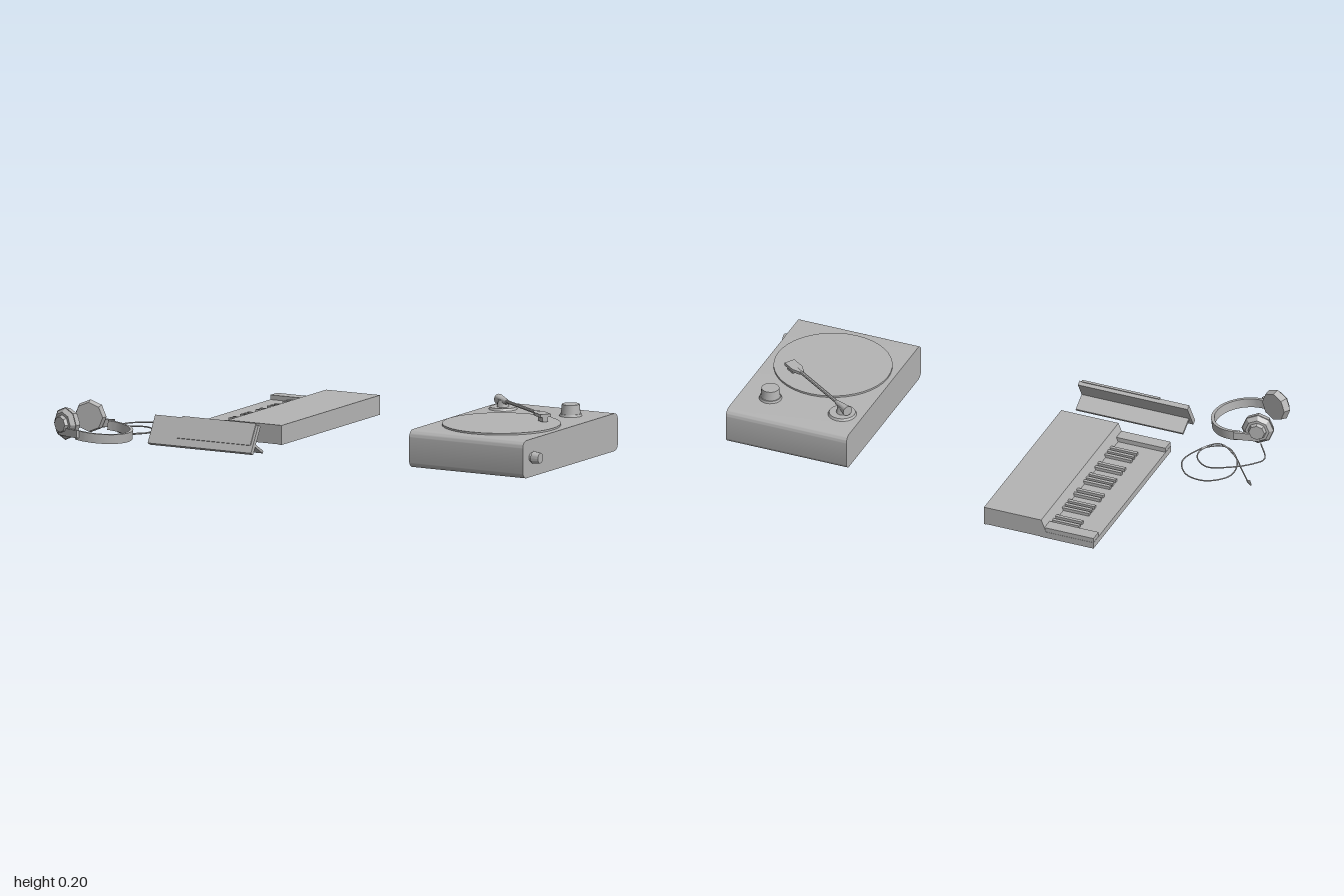
import * as THREE from 'three';
import { toCreasedNormals } from 'three/addons/utils/BufferGeometryUtils.js';

const grey = new THREE.MeshStandardMaterial({ color: 0xb4b4b4 });
grey.name = 'plain grey';

function add(parent, name, geometry, x = 0, y = 0, z = 0) {
  const mesh = new THREE.Mesh(toCreasedNormals(geometry, 0.6), grey);
  mesh.name = name;
  mesh.position.set(x, y, z);
  parent.add(mesh);
  return mesh;
}

function group(parent, name, x = 0, y = 0, z = 0) {
  const g = new THREE.Group();
  g.name = name;
  g.position.set(x, y, z);
  parent.add(g);
  return g;
}

// Box given by its lower and upper limits on each axis
function block(parent, name, x0, x1, y0, y1, z0, z1) {
  return add(parent, name, new THREE.BoxGeometry(x1 - x0, y1 - y0, z1 - z0),
    (x0 + x1) / 2, (y0 + y1) / 2, (z0 + z1) / 2);
}

const cyl = (top, bottom, h, n) => new THREE.CylinderGeometry(top, bottom, h, n);

function buildTurntable(model) {
  const t = group(model, 'turntable');

  // Rounded side profile swept across the width
  const s = new THREE.Shape();
  const a = -0.305, b = 0.42, h = 0.145, r = 0.028;
  s.absarc(b - r, r, r, -Math.PI / 2, 0);
  s.absarc(b - r, h - r, r, 0, Math.PI / 2);
  s.absarc(a + r, h - r, r, Math.PI / 2, Math.PI);
  s.absarc(a + r, r, r, Math.PI, Math.PI * 1.5);
  const body = new THREE.ExtrudeGeometry(s, { depth: 0.495, bevelEnabled: false, curveSegments: 6 });
  body.rotateY(Math.PI / 2);
  add(t, 'turntableBody', body, 0.465);

  add(t, 'platter', cyl(0.225, 0.225, 0.008, 40), 0.71, 0.148, 0.03);

  // Speed knob on the top and volume knob on the side
  add(t, 'topKnobBase', cyl(0.041, 0.044, 0.01, 20), 0.84, 0.149, -0.27);
  add(t, 'topKnob', cyl(0.034, 0.038, 0.04, 20), 0.84, 0.17, -0.27);
  const side = group(t, 'sideKnob', 0.96, 0.075, 0.24);
  side.rotation.z = -Math.PI / 2;
  add(side, 'sideKnobCollar', cyl(0.018, 0.018, 0.02, 16), 0, 0.005, 0);
  add(side, 'sideKnobCap', cyl(0.02, 0.024, 0.03, 16), 0, 0.025, 0);

  // Tone arm, running along its own x axis
  add(t, 'toneArmBase', cyl(0.05, 0.055, 0.01, 28), 0.545, 0.149, -0.27);
  add(t, 'toneArmPost', cyl(0.018, 0.024, 0.03, 16), 0.545, 0.165, -0.27);
  const arm = group(t, 'toneArm', 0.545, 0.178, -0.27);
  arm.rotation.y = -0.603;
  add(arm, 'armTube', cyl(0.007, 0.007, 0.3, 8).rotateZ(Math.PI / 2), 0.165, 0, 0);
  add(arm, 'counterweight', cyl(0.009, 0.02, 0.075, 12).rotateZ(-Math.PI / 2), 0, -0.001, 0);
  const head = new THREE.Shape([[0.285, -0.009], [0.315, -0.022], [0.372, -0.022],
    [0.372, 0.022], [0.315, 0.022], [0.285, 0.009]].map(p => new THREE.Vector2(...p)));
  add(arm, 'headshell', new THREE.ExtrudeGeometry(head, { depth: 0.012, bevelEnabled: false })
    .rotateX(-Math.PI / 2), 0, -0.006, 0);
  block(arm, 'cartridge', 0.33, 0.368, -0.024, -0.005, -0.012, 0.012);
}

function buildKeyboard(model) {
  const k = group(model, 'keyboard');

  // Hollow raised body and solid key bed in one cross-section
  const s = new THREE.Shape([[-0.17, 0.01], [-0.17, 0.085], [-0.405, 0.085], [-0.425, 0.036],
    [-0.62, 0.036], [-0.62, 0.01], [-0.4, 0.01], [-0.4, 0.07], [-0.18, 0.07], [-0.18, 0.01]]
    .map(p => new THREE.Vector2(...p)));
  add(k, 'keyboardBody', new THREE.ExtrudeGeometry(s, { depth: 0.75, bevelEnabled: false }), 0, 0, -0.585);
  for (const z of [-0.584, 0.154]) block(k, 'bodyEndWall', -0.402, -0.178, 0.011, 0.072, z, z + 0.01);
  for (const z of [-0.584, 0.114]) block(k, 'keyEndBlock', -0.619, -0.418, 0.011, 0.054, z, z + 0.05);

  // Raised keys in alternating pairs and triples
  for (let octave = 0; octave < 3; octave++) {
    for (const z of [-0.507, -0.477, -0.411, -0.385, -0.358]) {
      const c = z + octave * 0.205;
      block(k, 'raisedKey', -0.53, -0.418, 0.03, 0.048, c - 0.007, c + 0.007);
    }
  }
}

function buildStand(model) {
  // Leaning panel with a rear foot, built upright and tilted back
  const p = group(model, 'leaningPanel', 0, 0.005, 0.383);
  p.rotation.x = -0.52;
  block(p, 'panel', -0.62, -0.17, 0, 0.115, 0, 0.019);
  block(p, 'frontPlate', -0.5, -0.18, 0.03, 0.119, 0.015, 0.023);
  block(p, 'rearFoot', -0.61, -0.17, 0.032, 0.042, -0.066, 0.002);
}

function buildHeadphones(model) {
  const h = group(model, 'headphones');

  // Headband: flat ribbon bent into an arc, tipped slightly
  const arc = new THREE.Shape();
  arc.absarc(0, 0, 0.13, -1.8, 1.8, false);
  arc.absarc(0, 0, 0.118, 1.8, -1.8, true);
  const band = add(h, 'headband', new THREE.ExtrudeGeometry(arc,
    { depth: 0.036, bevelEnabled: false, curveSegments: 20 }).rotateX(-Math.PI / 2), -0.815, 0.03, 0.435);
  band.rotation.z = -0.1;

  // Ear cups: local +y points outwards
  for (const [side, z, turn] of [[-1, 0.337, 0.22], [1, 0.524, -0.33]]) {
    const cup = group(h, side < 0 ? 'rearEarCup' : 'frontEarCup', -0.905, 0.083, z);
    cup.rotation.y = turn;
    const axis = group(cup, 'cupAxis');
    axis.rotation.x = side * Math.PI / 2;
    add(axis, 'earPad', cyl(0.063, 0.056, 0.026, 8), 0, -0.01, 0);
    add(axis, 'cupShell', cyl(0.046, 0.06, 0.016, 8), 0, 0.011, 0);
    add(axis, 'cupCap', cyl(0.03, 0.036, 0.014, 8), 0, 0.025, 0);
    // Arm linking the cup to the headband
    block(cup, 'cupArm', -0.012, 0.09, -0.042, -0.012, side * 0.02 - 0.006, side * 0.02 + 0.006);
  }

  // Looped cable and plug
  const path = [[-0.98, 0.065], [-0.93, 0.13], [-0.85, 0.23], [-0.77, 0.28], [-0.71, 0.2],
    [-0.69, 0.11], [-0.74, 0.03], [-0.82, 0.015], [-0.89, 0.07], [-0.9, 0.13], [-0.87, 0.21],
    [-0.8, 0.27], [-0.73, 0.23], [-0.73, 0.16], [-0.79, 0.11], [-0.87, 0.14], [-0.945, 0.2],
    [-0.97, 0.25], [-0.93, 0.305]];
  const curve = new THREE.CatmullRomCurve3(path.map(([x, z], i) =>
    new THREE.Vector3(x, i === path.length - 1 ? 0.04 : 0.016, z)));
  add(h, 'cable', new THREE.TubeGeometry(curve, 110, 0.0028, 5));
  const plug = add(h, 'plug', cyl(0.003, 0.007, 0.028, 8).rotateX(Math.PI / 2), -0.988, 0.018, 0.062);
  plug.rotation.y = Math.PI + 0.7;
}

export function createModel() {
  const model = new THREE.Group();
  model.name = 'musicSet';
  buildTurntable(model);
  buildKeyboard(model);
  buildStand(model);
  buildHeadphones(model);
  return model;
}
